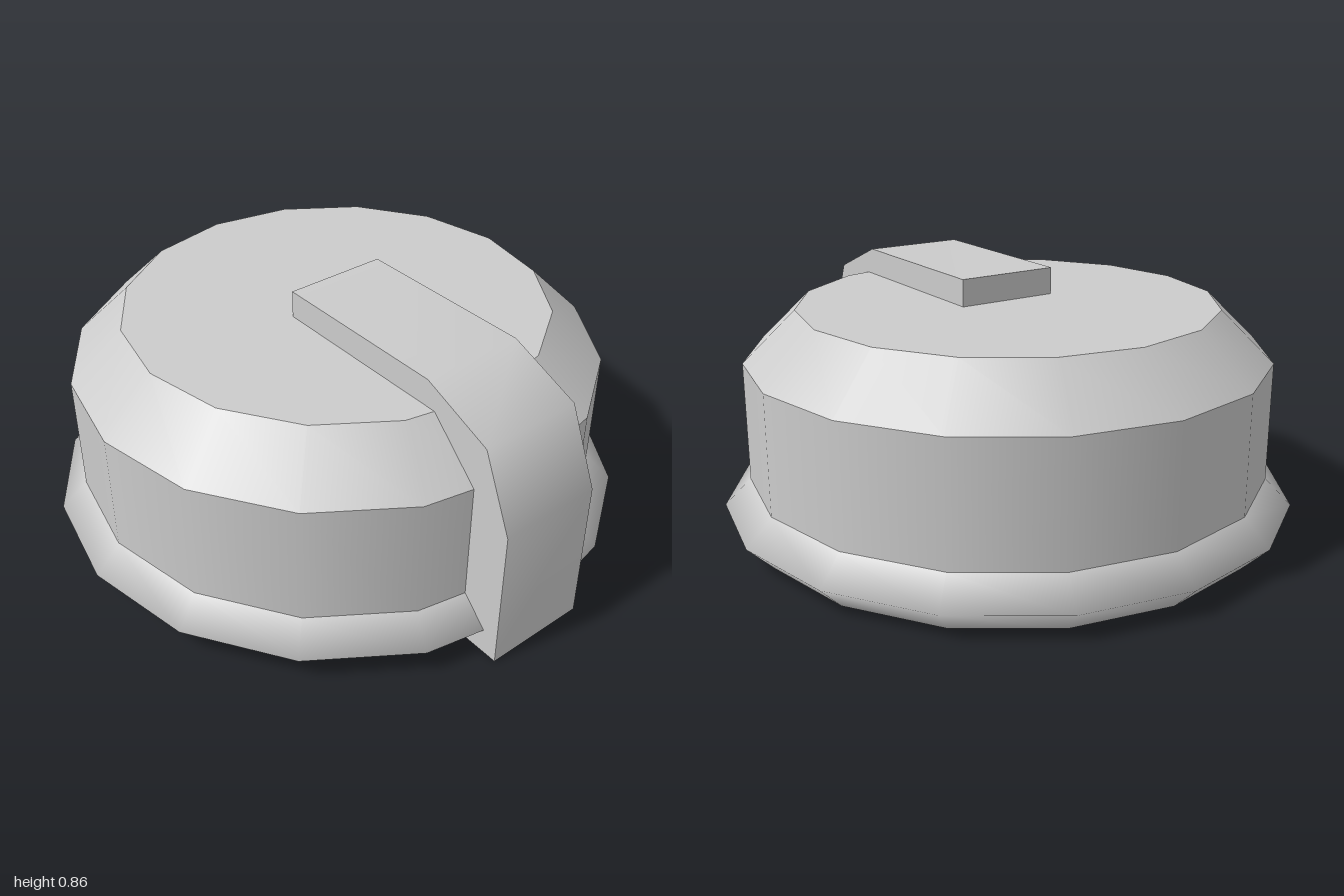
import * as THREE from 'three';
import { toCreasedNormals } from 'three/addons/utils/BufferGeometryUtils.js';

const SIDES = 16;
const CENTER_X = -0.01;

export function createModel() {
  const model = new THREE.Group();
  const material = new THREE.MeshStandardMaterial({ color: 0xcccccc });

  // Each band is its own lathe, so edges between bands stay sharp
  const bands = {
    base: [[0, 0], [0.9, 0]],
    rim: [[0.9, 0], [0.99, 0.09], [0.9, 0.18]],
    wall: [[0.9, 0.18], [0.9, 0.59]],
    bevel: [[0.9, 0.59], [0.72, 0.765]],
    lid: [[0.72, 0.765], [0, 0.765]],
  };
  const body = new THREE.Group();
  body.name = 'body';
  body.position.x = CENTER_X;
  for (const [name, profile] of Object.entries(bands)) {
    const points = profile.map(([r, y]) => new THREE.Vector2(r, y));
    const mesh = new THREE.Mesh(new THREE.LatheGeometry(points, SIDES), material);
    mesh.name = name;
    body.add(mesh);
  }
  model.add(body);

  // Strap from the middle of the lid, over the bevel and down one side
  const outline = [
    [CENTER_X, 0.755], [0.66, 0.755], [0.84, 0.58], [0.84, 0],
    [1, 0], [1, 0.5], [0.89, 0.755], [0.64, 0.858], [CENTER_X, 0.858],
  ];
  const shape = new THREE.Shape(outline.map(([x, y]) => new THREE.Vector2(x, y)));
  const width = 0.36;
  const strapGeometry = new THREE.ExtrudeGeometry(shape, { depth: width, bevelEnabled: false });
  strapGeometry.translate(0, 0, -width / 2);
  const strap = new THREE.Mesh(toCreasedNormals(strapGeometry, 0.9), material);
  strap.name = 'strap';
  model.add(strap);

  return model;
}
